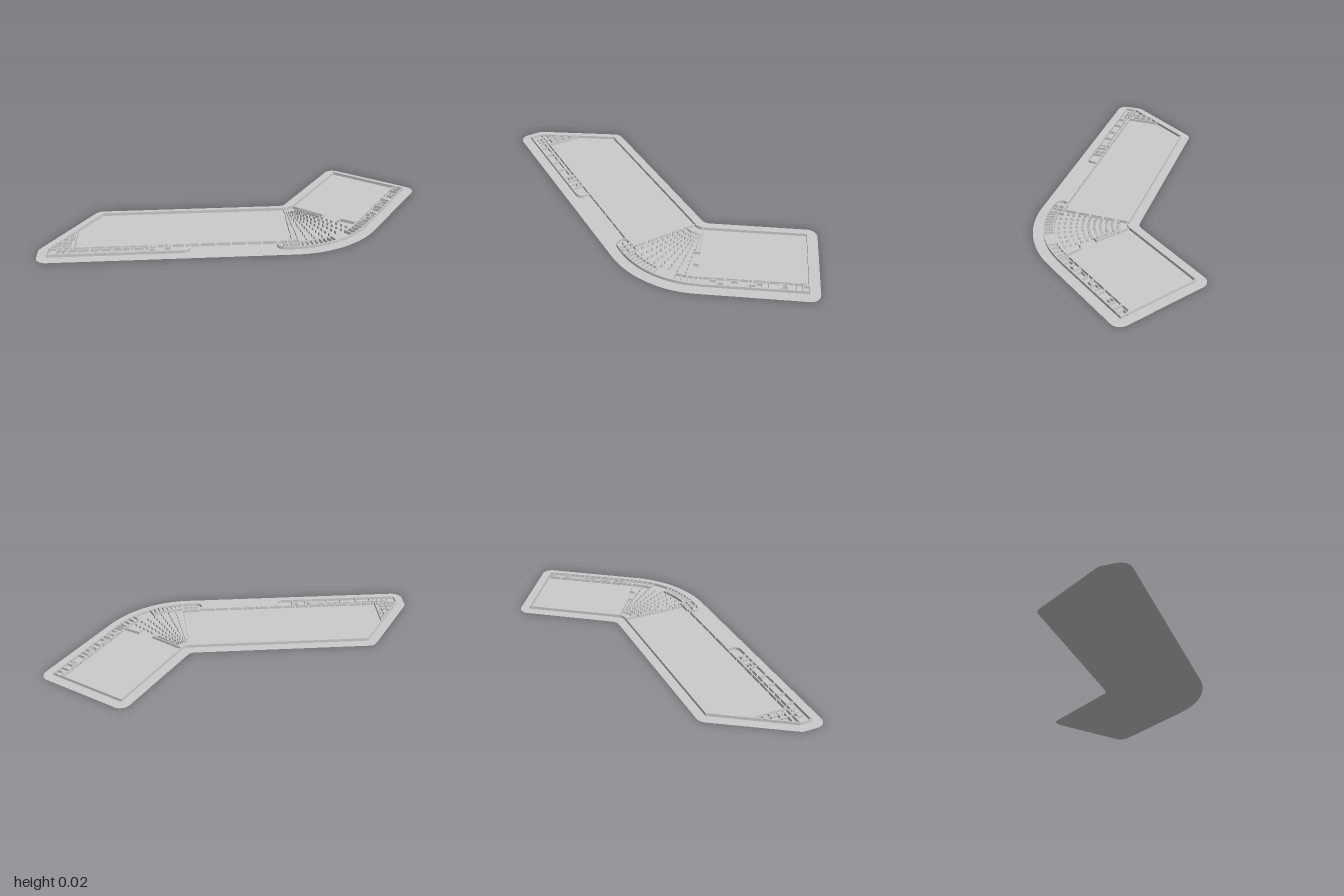
import * as THREE from 'three';
import { mergeGeometries } from 'three/addons/utils/BufferGeometryUtils.js';

const H = 0.016; // wall height
const T = 0.005; // wall thickness
const C = [0.25, -0.047]; // hub where the two wings meet
const rad = Math.PI / 180;
const BEND = 35; // the second wing is square to this direction, in degrees

// All plan points are [x, z]; angles run from +x towards +z.
const onArc = (c, r, deg) => [c[0] + r * Math.cos(deg * rad), c[1] + r * Math.sin(deg * rad)];
const polar = (r, deg) => onArc(C, r, deg);
// Plan point in the angled wing: u across it, v along it
const wing = (u, v) => {
  const c = Math.cos(BEND * rad), s = Math.sin(BEND * rad);
  return [C[0] + u * c + v * s, C[1] + u * s - v * c];
};
const arc = (c, r, a0, a1, n) =>
  Array.from({ length: n + 1 }, (_, i) => onArc(c, r, a0 + ((a1 - a0) * i) / n));
const mix = (a, b, t) => [a[0] + (b[0] - a[0]) * t, a[1] + (b[1] - a[1]) * t];

// One straight wall between two plan points
function wall(a, b, t = T) {
  const dx = b[0] - a[0], dz = b[1] - a[1];
  const g = new THREE.BoxGeometry(Math.hypot(dx, dz) + t, H, t);
  g.rotateY(-Math.atan2(dz, dx));
  g.translate((a[0] + b[0]) / 2, H / 2, (a[1] + b[1]) / 2);
  return g;
}
const path = (pts, t) => pts.slice(1).map((p, i) => wall(pts[i], p, t));
// Wall broken by door openings
const dashed = (a, b, n, fill = 0.8, t = T) =>
  Array.from({ length: n }, (_, i) => wall(mix(a, b, (i + (1 - fill) / 2) / n), mix(a, b, (i + (1 + fill) / 2) / n), t));

export function createModel() {
  const group = new THREE.Group();
  const material = new THREE.MeshStandardMaterial({ color: 0xcccccc, flatShading: true });
  const add = (name, parts) => {
    const mesh = new THREE.Mesh(mergeGeometries(parts), material);
    mesh.name = name;
    group.add(mesh);
  };

  // Thin floor sheet with rounded corners
  const outline = [
    ...arc(C, 0.535, 90, BEND, 24),
    ...arc(wing(0.485, 0.52), 0.053, 35, -55, 8),
    ...arc(wing(0.055, 0.52), 0.053, -55, -145, 8),
    wing(0, 0.05), wing(0, 0.025), [0.252, -0.054], [0.235, -0.047], [0.21, -0.046],
    ...arc([-0.71, 0.008], 0.053, -90, -146, 6),
    ...arc([-0.947, 0.37], 0.053, -146, -180, 5),
    ...arc([-0.947, 0.435], 0.053, 180, 90, 8),
  ];
  const floor = new THREE.Mesh(
    new THREE.ShapeGeometry(new THREE.Shape(outline.map(([x, z]) => new THREE.Vector2(x, -z)))),
    new THREE.MeshStandardMaterial({ color: 0xcccccc, side: THREE.DoubleSide }));
  floor.geometry.rotateX(-Math.PI / 2);
  floor.name = 'floor';
  group.add(floor);

  // Long wing: back wall, slanted end, front wall with doors, end towards the fan
  add('longHallWalls', [
    ...dashed([-0.71, 0.006], [0.25, 0.006], 10, 0.96),
    ...dashed([-0.71, 0.006], [-0.95, 0.37], 4, 0.97),
    ...dashed([-0.825, 0.37], [0.25, 0.37], 14, 0.82),
    wall([-0.825, 0.19], [-0.825, 0.37]),
    ...dashed([0.247, 0.006], [0.247, 0.43], 6, 0.75),
  ]);

  // Rooms in the slanted end
  const slantX = z => -0.71 - (0.24 * (z - 0.006)) / 0.364;
  add('endRooms', [
    ...[0.235, 0.27, 0.31, 0.345].map(z => wall([slantX(z), z], [-0.835 - 0.01 * (z > 0.3), z])),
    wall([-0.855, 0.235], [-0.855, 0.345]),
    wall([-0.885, 0.27], [-0.885, 0.37]),
    wall([-0.95, 0.37], [-0.84, 0.37]),
  ]);

  // Strip of rooms along the front of the long wing
  add('frontRooms', [
    ...path([[-0.95, 0.37], [-0.95, 0.433], [-0.3, 0.433], ...arc([-0.295, 0.398], 0.035, 90, 0, 6), [-0.26, 0.37]]),
    ...dashed([-0.91, 0.39], [-0.43, 0.39], 9, 0.7),
    ...[-0.905, -0.875, -0.845].map(x => wall([x, 0.37], [x, 0.41])),
    ...[-0.8, -0.72, -0.63, -0.55].map(x => wall([x, 0.39], [x, 0.433])),
    ...[-0.46, -0.425, -0.385, -0.35].map(x => wall([x, 0.37], [x, 0.433], 0.007)),
    wall([-0.46, 0.41], [-0.425, 0.41]),
    wall([-0.385, 0.395], [-0.35, 0.395]),
  ]);

  // Entrance rooms at the start of the bend
  add('entranceRooms', [
    ...path([[0.245, 0.433], [0.205, 0.433], ...arc([0.205, 0.398], 0.035, 90, 270, 8), [0.28, 0.363], [0.28, 0.433], [0.245, 0.433]]),
    wall([0.2, 0.4], [0.28, 0.4]),
    wall([0.22, 0.365], [0.22, 0.433]),
  ]);

  // Fan between the wings: outer and inner curved walls, small rooms between them
  const curvedRooms = [
    ...path(arc(C, 0.48, 90, BEND, 18)),
    ...path(arc(C, 0.43, 85, 63, 6)),
    ...path(arc(C, 0.43, 50, BEND, 5)),
    ...path(arc(C, 0.055, 90, BEND, 4)),
  ];
  for (const a of [84, 81, 78, 75, 72, 69, 66, 63, 50, 46, 42, 38, 35])
    curvedRooms.push(wall(polar(0.43, a), polar(0.48, a)));
  add('curvedRooms', curvedRooms);

  // Fan side wall, with its lobby, and the radial rows of posts
  add('fanSideWalls', [
    ...dashed(polar(0.06, 38), polar(0.25, 38), 3, 0.9),
    ...dashed(polar(0.1, 45), polar(0.24, 43), 3, 0.7),
    wall(polar(0.25, 37), polar(0.25, 43)),
    ...dashed(polar(0.34, 36), polar(0.45, 35), 2, 0.9),
    wall(polar(0.34, 36), polar(0.34, 40)),
  ]);
  const posts = [];
  for (let a = 44; a <= 86; a += 6)
    posts.push(...dashed(polar(0.09, a), polar(0.42, a), 11, 0.3, 0.004));
  add('fanPosts', posts);

  // Angled wing: hall walls
  add('angledHallWalls', [
    ...dashed(wing(0.055, 0), wing(0.055, 0.52), 6, 0.96),
    ...dashed(wing(0.055, 0.52), wing(0.482, 0.52), 5, 0.96),
    ...dashed(wing(0.43, 0), wing(0.43, 0.51), 8, 0.82),
    wall(wing(0.482, 0), wing(0.482, 0.52)),
  ]);

  // Rooms along the outer side of the angled wing
  const sideRooms = [];
  [0.02, 0.05, 0.085, 0.12, 0.15, 0.2, 0.235, 0.27, 0.3, 0.33, 0.39, 0.42, 0.46, 0.49].forEach((v, i) => {
    sideRooms.push(wall(wing(i % 3 ? 0.445 : 0.43, v), wing(0.482, v)));
    if (i % 3 === 1) sideRooms.push(wall(wing(0.445, v), wing(0.445, v + 0.032)));
    if (i % 4 === 2) sideRooms.push(wall(wing(0.462, v), wing(0.462, v + 0.03)));
  });
  add('sideRooms', sideRooms);

  return group;
}
